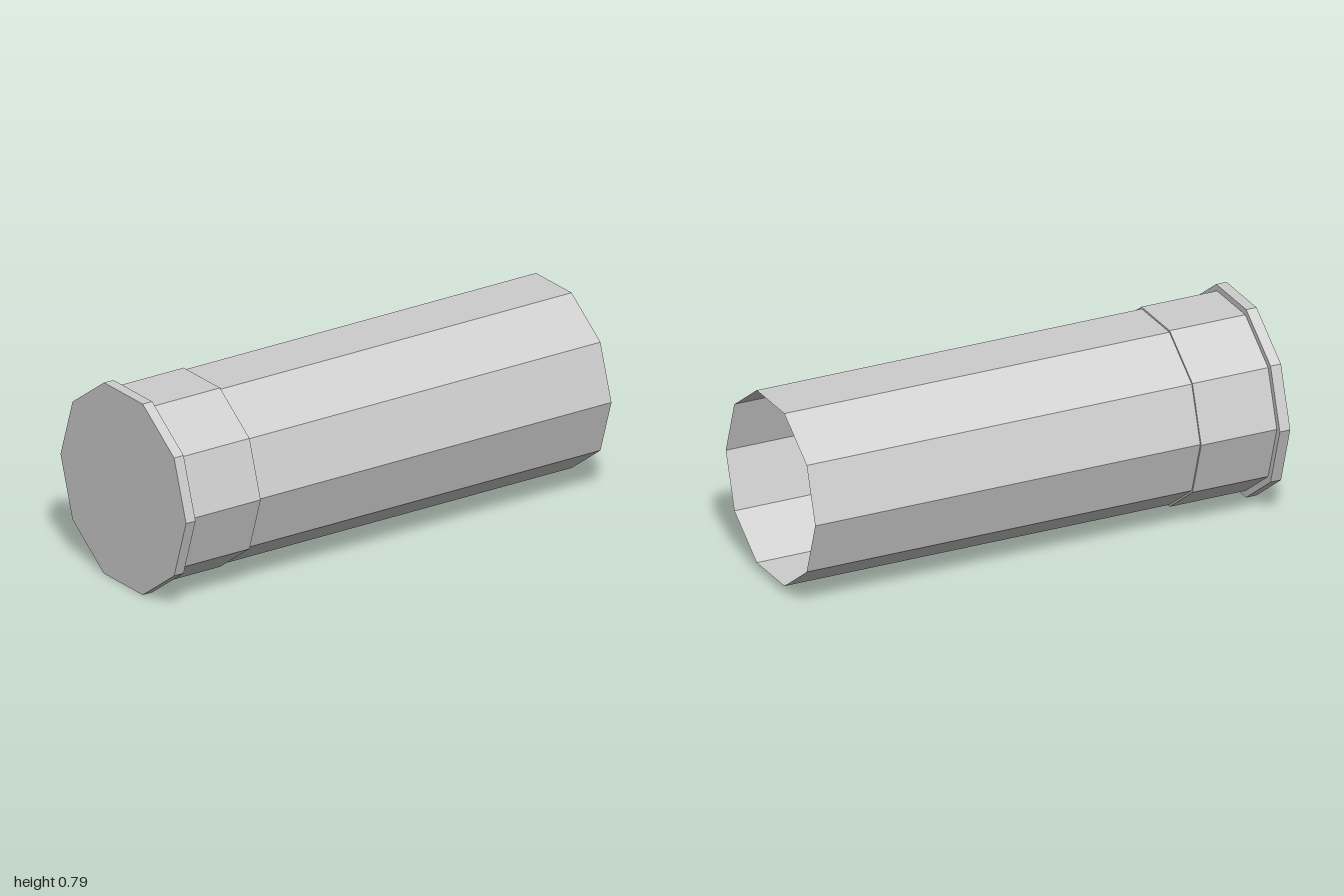
import * as THREE from 'three';

const SIDES = 10;
const CENTRE_Y = 0.394;
const RIM = 0.414, COLLAR = 0.388, TUBE = 0.38; // corner radii

export function createModel() {
  const group = new THREE.Group();
  group.name = 'openCasing';

  const grey = new THREE.MeshStandardMaterial({ color: 0xcccccc, flatShading: true, side: THREE.DoubleSide });
  grey.name = 'light grey';

  // Ten-sided shell along x from [radius, x] profile points
  function shell(name, profile) {
    const points = profile.map(([r, x]) => new THREE.Vector2(r, x));
    const geometry = new THREE.LatheGeometry(points, SIDES);
    geometry.rotateZ(-Math.PI / 2);
    const mesh = new THREE.Mesh(geometry, grey);
    mesh.name = name;
    mesh.position.y = CENTRE_Y;
    group.add(mesh);
  }

  // Closed end, then each section with the step down to the next
  shell('base', [[0, -1], [RIM, -1]]);
  shell('rim', [[RIM, -1], [RIM, -0.956]]);
  shell('rimStep', [[RIM, -0.956], [COLLAR, -0.956]]);
  shell('collar', [[COLLAR, -0.956], [COLLAR, -0.635]]);
  shell('collarStep', [[COLLAR, -0.635], [TUBE, -0.635]]);
  // Thin-walled body, open at the far end
  shell('tube', [[TUBE, -0.635], [TUBE, 1]]);

  return group;
}
